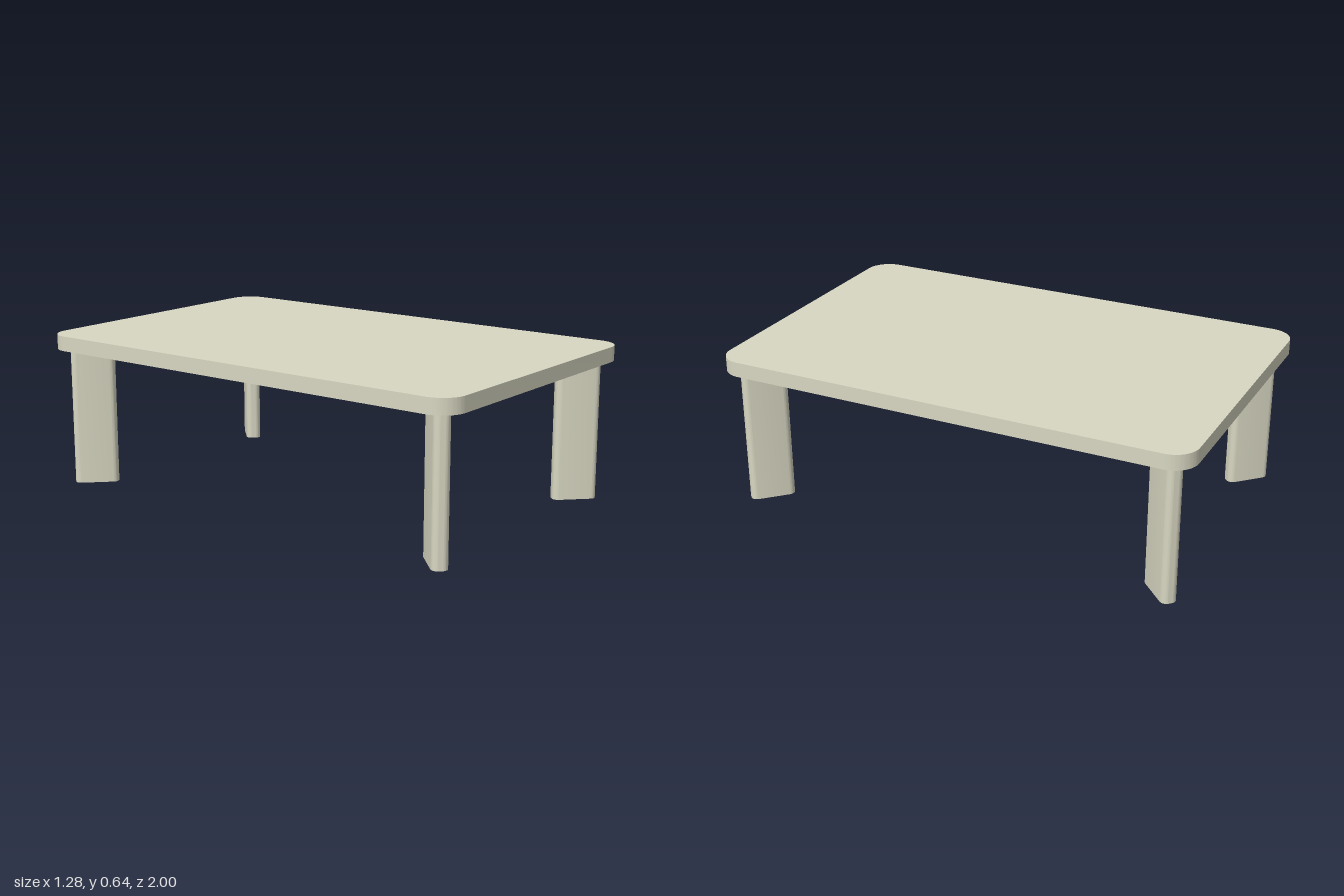
import * as THREE from 'three';
import { toCreasedNormals } from 'three/addons/utils/BufferGeometryUtils.js';

// Upright slab with rounded vertical corners, standing on y = 0
function roundedSlab(width, depth, height, radius) {
  const x = width / 2, y = depth / 2, r = radius;
  const shape = new THREE.Shape();
  shape.absarc(x - r, y - r, r, 0, Math.PI / 2);
  shape.absarc(-x + r, y - r, r, Math.PI / 2, Math.PI);
  shape.absarc(-x + r, -y + r, r, Math.PI, Math.PI * 1.5);
  shape.absarc(x - r, -y + r, r, Math.PI * 1.5, Math.PI * 2);
  shape.closePath();
  const geometry = new THREE.ExtrudeGeometry(shape, { depth: height, bevelEnabled: false, curveSegments: 12 });
  geometry.rotateX(-Math.PI / 2);
  return toCreasedNormals(geometry, Math.PI / 6);
}

export function createModel() {
  const group = new THREE.Group();
  group.name = 'coffeeTable';
  const paint = new THREE.MeshStandardMaterial({ color: 0xd8d7c2 });
  paint.name = 'pale stone paint';

  // Table top
  const legHeight = 0.58;
  const top = new THREE.Mesh(roundedSlab(1.28, 2, 0.062, 0.1), paint);
  top.name = 'tableTop';
  top.position.y = legHeight;
  group.add(top);

  // Four blade legs, each turned to point at its corner
  const legGeometry = roundedSlab(0.183, 0.064, legHeight, 0.026);
  for (const sx of [-1, 1]) {
    for (const sz of [-1, 1]) {
      const leg = new THREE.Mesh(legGeometry, paint);
      leg.name = (sz > 0 ? 'front' : 'back') + (sx > 0 ? 'Left' : 'Right') + 'Leg';
      leg.position.set(sx * 0.51, 0, sz * 0.868);
      leg.rotation.y = -sx * sz * Math.PI / 4;
      group.add(leg);
    }
  }
  return group;
}
